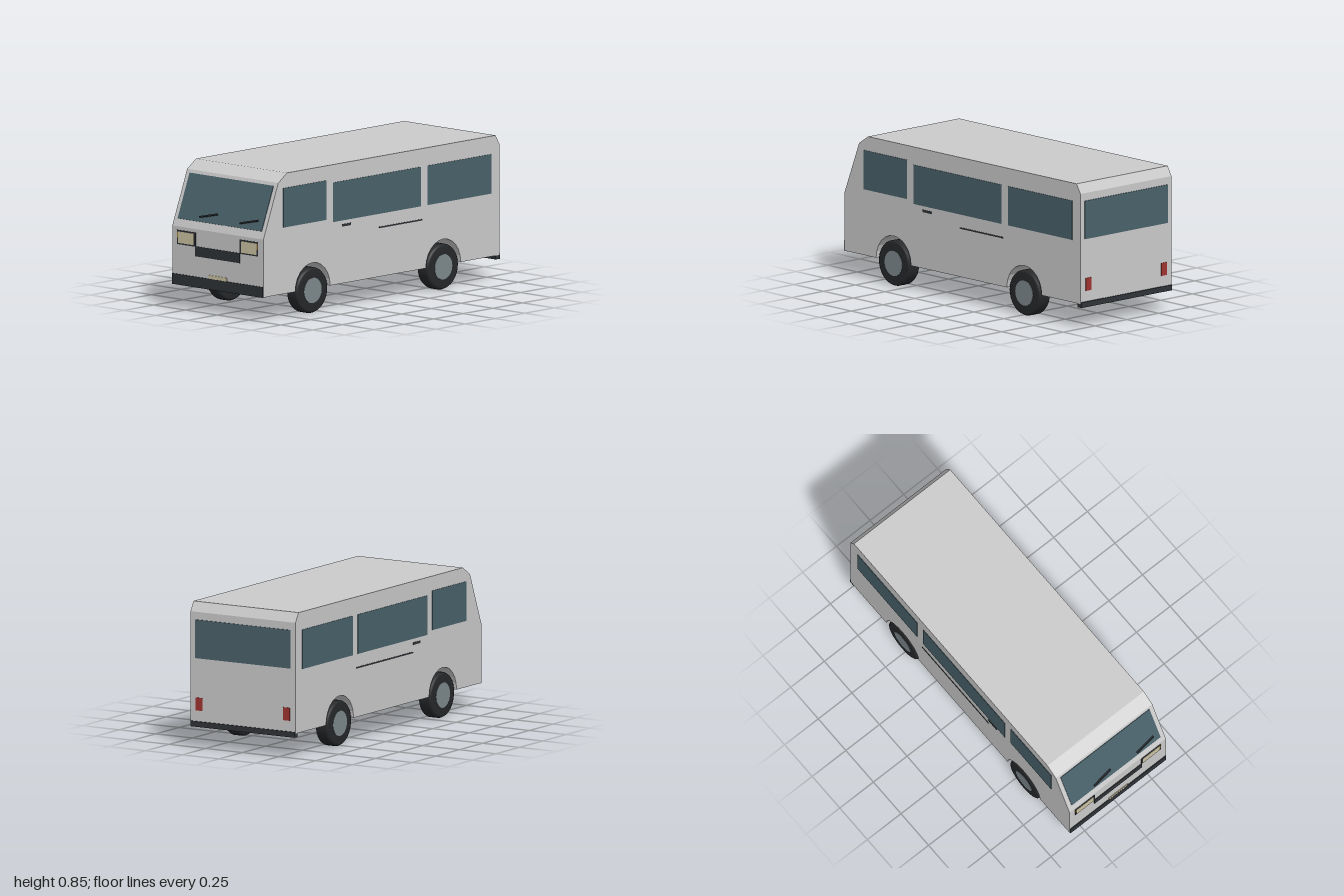
import * as THREE from 'three';

const paint = (color) => new THREE.MeshStandardMaterial({ color });

export function createModel() {
  const van = new THREE.Group();
  van.name = 'van';
  const grey = paint(0xcccccc), glass = paint(0x4a626b), dark = paint(0x303338);
  const tyreMat = paint(0x26282a), rimMat = paint(0x7d888c), lens = paint(0xcfc6a6);
  const amber = paint(0xa8803a), red = paint(0xa03432);
  const half = 0.358, wheelZ = [0.58, -0.52];

  const add = (name, geometry, material, parent = van) => {
    const mesh = new THREE.Mesh(geometry, material);
    mesh.name = name;
    parent.add(mesh);
    return mesh;
  };
  // Box given by its extents on each axis
  const box = (name, material, [x0, x1], [y0, y1], [z0, z1], parent) => {
    const mesh = add(name, new THREE.BoxGeometry(x1 - x0, y1 - y0, z1 - z0), material, parent);
    mesh.position.set((x0 + x1) / 2, (y0 + y1) / 2, (z0 + z1) / 2);
    return mesh;
  };
  const mirrorX = (s, a, b) => (s > 0 ? [a, b] : [-b, -a]);

  // Body: side profile with wheel arches cut through
  const profile = new THREE.Shape();
  profile.moveTo(-0.993, 0.143);
  for (const z of [...wheelZ].reverse()) {
    for (let i = 0; i <= 12; i++) {
      const a = Math.PI * (1 - i / 12);
      profile.lineTo(z + 0.147 * Math.cos(a), 0.143 + 0.152 * Math.sin(a));
    }
  }
  [[0.995, 0.143], [0.995, 0.48], [0.87, 0.795], [0.795, 0.845], [-0.96, 0.845], [-0.993, 0.79]]
    .forEach(([z, y]) => profile.lineTo(z, y));
  profile.closePath();
  const shell = new THREE.ExtrudeGeometry(profile, { depth: 2 * half, bevelEnabled: false });
  shell.rotateY(-Math.PI / 2).translate(half, 0, 0);
  add('body', shell, grey);
  box('floorPan', dark, [-0.27, 0.27], [0.138, 0.215], [-0.97, 0.97]);

  // Side windows, door handle and trim
  const panes = [[0.465, 0.83, 0.53, 0.76], [-0.33, 0.41, 0.51, 0.74], [-0.925, -0.385, 0.51, 0.74]];
  for (const s of [1, -1]) {
    const side = s > 0 ? 'left' : 'right';
    const skin = mirrorX(s, half - 0.004, half + 0.003);
    panes.forEach(([z0, z1, y0, y1], i) => box(`${side}Window${i + 1}`, glass, skin, [y0, y1], [z0, z1]));
    box(`${side}DoorHandle`, dark, skin, [0.474, 0.488], [0.26, 0.335]);
    box(`${side}DoorRail`, dark, skin, [0.426, 0.434], [-0.34, s > 0 ? 0.02 : 0.26]);
  }

  // Windscreen and wipers lie on the raked front panel
  const rake = new THREE.Group();
  rake.name = 'windscreenAssembly';
  rake.position.set(0, 0.6375, 0.9325);
  rake.rotation.x = -Math.atan2(0.125, 0.315);
  van.add(rake);
  box('windscreen', glass, [-0.33, 0.33], [-0.124, 0.149], [-0.005, 0.003], rake);
  for (const x of [-0.095, 0.2225]) {
    const wiper = add('wiper', new THREE.BoxGeometry(0.134, 0.008, 0.01), dark, rake);
    wiper.position.set(x, -0.082, 0.01);
    wiper.rotation.z = 0.23;
  }

  // Front lamps, grille, plate and bumper
  for (const s of [1, -1]) {
    box('headlampFrame', dark, mirrorX(s, 0.173, 0.317), [0.377, 0.46], [0.985, 0.998]);
    box('headlampLens', lens, mirrorX(s, 0.185, 0.307), [0.385, 0.452], [0.985, 1]);
    box('indicator', amber, mirrorX(s, 0.307, 0.316), [0.415, 0.45], [0.985, 1]);
    box('tailLamp', red, mirrorX(s, 0.275, 0.32), [0.215, 0.29], [-0.997, -0.985]);
  }
  box('grille', dark, [-0.175, 0.175], [0.322, 0.38], [0.985, 0.999]);
  box('frontPlate', lens, [-0.07, 0.07], [0.185, 0.224], [0.985, 0.999]);
  box('frontBumper', dark, [-0.355, 0.355], [0.141, 0.203], [0.97, 1]);

  // Rear window and bumper
  box('rearWindow', glass, [-0.325, 0.325], [0.52, 0.745], [-0.997, -0.985]);
  box('rearBumper', dark, [-0.355, 0.355], [0.12, 0.152], [-1, -0.965]);

  // Wheels: tyre with slightly rounded shoulders and a hub showing on both faces
  const tyre = new THREE.LatheGeometry(
    [[0, -0.043], [0.118, -0.043], [0.128, -0.038], [0.133, -0.028],
      [0.133, 0.028], [0.128, 0.038], [0.118, 0.043], [0, 0.043]]
      .map(([r, y]) => new THREE.Vector2(r, y)), 32).rotateZ(Math.PI / 2);
  const hub = new THREE.CylinderGeometry(0.074, 0.074, 0.09, 32).rotateZ(Math.PI / 2);
  for (const z of wheelZ) {
    for (const s of [1, -1]) {
      const wheel = new THREE.Group();
      wheel.name = `${z > 0 ? 'front' : 'rear'}${s > 0 ? 'Left' : 'Right'}Wheel`;
      wheel.position.set(s * 0.315, 0.133, z);
      add('tyre', tyre, tyreMat, wheel);
      add('hub', hub, rimMat, wheel);
      van.add(wheel);
    }
  }
  return van;
}
